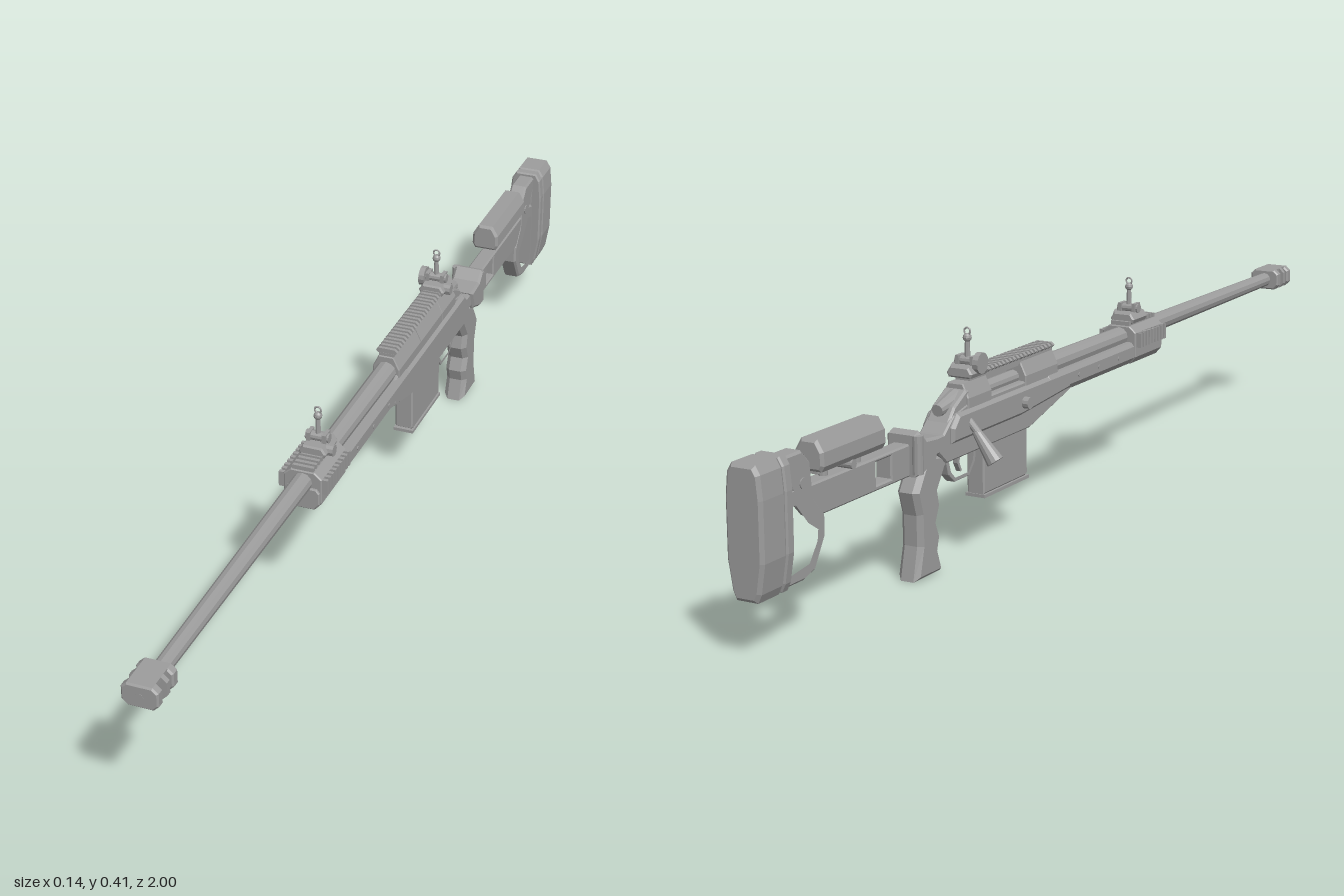
import * as THREE from 'three';

const metal = new THREE.MeshStandardMaterial({ color: 0x9c9c9c });
metal.name = 'grey metal';
metal.flatShading = true;

export function createModel() {
  const root = new THREE.Group();
  root.name = 'rifle';
  const g = new THREE.Group();
  g.name = 'body';
  g.position.x = 0.02; // the bore sits slightly off the centre line
  root.add(g);

  const add = (name, geo, x = 0, y = 0, z = 0) => {
    const m = new THREE.Mesh(geo, metal);
    m.name = name;
    m.position.set(x, y, z);
    g.add(m);
    return m;
  };
  // box given by its z and y ranges, centred on x
  const box = (name, w, y0, y1, z0, z1, x = 0) =>
    add(name, new THREE.BoxGeometry(w, y1 - y0, Math.abs(z1 - z0)), x, (y0 + y1) / 2, (z0 + z1) / 2);
  const toShape = (pts) => new THREE.Shape(pts.map(([a, b]) => new THREE.Vector2(a, b)));
  const extrude = (pts, depth, bevel, holes) => {
    const s = toShape(pts);
    holes.forEach((h) => s.holes.push(toShape(h)));
    return new THREE.ExtrudeGeometry(s, {
      depth: depth - 2 * bevel, bevelEnabled: bevel > 0, bevelThickness: bevel,
      bevelSize: bevel, bevelOffset: -bevel, bevelSegments: 1, curveSegments: 6,
    }).translate(0, 0, -depth / 2 + bevel);
  };
  // side profile of [z, y] points with a width in x
  const side = (name, pts, width, bevel = 0, holes = [], x = 0) =>
    add(name, extrude(pts, width, bevel, holes).rotateY(-Math.PI / 2), x);
  // cross-section of [x, y] points running along z
  const along = (name, pts, z0, z1, bevel = 0, holes = []) =>
    add(name, extrude(pts, Math.abs(z1 - z0), bevel, holes), 0, 0, (z0 + z1) / 2);
  const mirror = (half) => [...half, ...half.map(([x, y]) => [-x, y]).reverse()];
  // cylinder between two points
  const rod = (name, a, b, r0, r1 = r0, n = 12) => {
    const p = new THREE.Vector3(...a), q = new THREE.Vector3(...b);
    const m = add(name, new THREE.CylinderGeometry(r1, r0, p.distanceTo(q), n));
    m.position.copy(p).add(q).multiplyScalar(0.5);
    m.quaternion.setFromUnitVectors(new THREE.Vector3(0, 1, 0), q.sub(p).normalize());
    return m;
  };

  // barrel and muzzle brake
  const bore = 0.283;
  rod('barrel', [0, bore, -0.1], [0, bore, 0.94], 0.021, 0.0145);
  const brake = mirror([[0.022, 0.262], [0.032, 0.272], [0.032, 0.296], [0.022, 0.305]]);
  along('brakeFront', brake, 0.982, 1.0, 0.003);
  along('brakeMiddle', brake, 0.958, 0.968);
  along('brakeRear', brake, 0.928, 0.946, 0.003);
  box('brakeTop', 0.044, 0.297, 0.305, 0.935, 0.99);
  box('brakeBottom', 0.044, 0.262, 0.27, 0.935, 0.99);
  box('brakeCore', 0.03, 0.27, 0.297, 0.935, 0.99);
  rod('muzzleBore', [0, bore, 0.995], [0, bore, 1.0005], 0.007);

  // fore-end channel and its front collar
  along('foreEnd', mirror([[0.023, 0.232], [0.033, 0.244], [0.033, 0.266], [0.027, 0.274]]), -0.1, 0.355, 0.002);
  along('foreEndCollar', mirror([[0.024, 0.231], [0.036, 0.245], [0.036, 0.293], [0.022, 0.305]]), 0.235, 0.35, 0.002);
  for (let i = 0; i < 9; i++) {
    const z = 0.242 + i * 0.0128;
    for (const s of [-1, 1]) box('sideRailTooth', 0.012, 0.264, 0.293, z - 0.0035, z + 0.0035, s * 0.04);
    box('frontRailTooth', 0.04, 0.303, 0.313, z - 0.0035, z + 0.0035);
  }
  for (const z of [0.17, 0.09, 0.01])
    for (const s of [-1, 1]) rod('foreEndScrew', [s * 0.032, 0.255, z], [s * 0.0345, 0.255, z], 0.004, 0.004, 8);

  // stock body with magazine well
  side('chassis', [[0, 0.25], [0, 0.232], [-0.16, 0.19], [-0.45, 0.19], [-0.475, 0.212], [-0.53, 0.212],
    [-0.53, 0.243], [-0.458, 0.243], [-0.426, 0.27], [-0.38, 0.28], [-0.06, 0.28]], 0.05, 0.003);
  side('chassisSides', [[-0.02, 0.272], [-0.02, 0.236], [-0.2, 0.222], [-0.44, 0.222], [-0.44, 0.25],
    [-0.42, 0.272]], 0.066, 0.006);

  // receiver: closed ends, port open on the right side
  const receiver = mirror([[0.027, 0.262], [0.027, 0.29], [0.015, 0.315]]);
  along('receiverFront', receiver, -0.06, -0.18, 0.002);
  along('receiverRear', receiver, -0.3, -0.38, 0.002);
  along('receiverPort', [[-0.027, 0.262], [0.027, 0.262], [0.027, 0.29], [0.015, 0.315], [-0.012, 0.315],
    [-0.012, 0.308], [0.014, 0.3], [0.014, 0.272], [-0.027, 0.272]], -0.18, -0.3);
  side('receiverTang', [[-0.37, 0.262], [-0.44, 0.258], [-0.42, 0.283], [-0.38, 0.305], [-0.37, 0.305]], 0.046, 0.004);

  // top rail
  box('topRail', 0.03, 0.312, 0.321, -0.062, -0.355);
  for (let i = 0; i < 23; i++) {
    const z = -0.066 - i * 0.0128;
    along('topRailTooth', mirror([[0.016, 0.32], [0.021, 0.325], [0.016, 0.33]]), z + 0.0035, z - 0.0035);
  }

  // bolt
  rod('bolt', [0, 0.286, -0.17], [0, 0.286, -0.4], 0.013);
  rod('boltShroud', [0, 0.288, -0.38], [0, 0.278, -0.44], 0.018, 0.011);
  rod('boltHandle', [-0.012, 0.272, -0.385], [-0.045, 0.23, -0.378], 0.007);
  rod('boltKnob', [-0.04, 0.234, -0.378], [-0.077, 0.182, -0.375], 0.008, 0.016);
  rod('portScrew', [-0.033, 0.245, -0.195], [-0.045, 0.245, -0.195], 0.011);

  // magazine
  side('magazine', [[-0.16, 0.195], [-0.16, 0.104], [-0.166, 0.1], [-0.315, 0.1], [-0.315, 0.195]], 0.036, 0.003);
  side('magazineLip', [[-0.158, 0.1], [-0.158, 0.094], [-0.317, 0.094], [-0.317, 0.1]], 0.04);

  // trigger and guard
  side('triggerGuard', [[-0.325, 0.195], [-0.33, 0.165], [-0.35, 0.143], [-0.4, 0.143], [-0.42, 0.16], [-0.43, 0.195]],
    0.018, 0.001, [[[-0.333, 0.19], [-0.337, 0.168], [-0.353, 0.149], [-0.398, 0.149], [-0.413, 0.163], [-0.421, 0.19]]]);
  side('trigger', [[-0.372, 0.192], [-0.376, 0.172], [-0.368, 0.156], [-0.373, 0.155], [-0.383, 0.172], [-0.384, 0.192]], 0.009);

  // pistol grip with finger swells
  side('grip', [[-0.426, 0.2], [-0.447, 0.18], [-0.469, 0.147], [-0.463, 0.12], [-0.475, 0.092], [-0.464, 0.066],
    [-0.471, 0.042], [-0.458, 0], [-0.544, 0], [-0.53, 0.06], [-0.531, 0.115], [-0.544, 0.157], [-0.52, 0.195],
    [-0.5, 0.218]], 0.043, 0.009);

  // folding hinge and skeleton stock arm
  side('hingeBlock', [[-0.475, 0.245], [-0.49, 0.205], [-0.53, 0.19], [-0.555, 0.19], [-0.555, 0.262], [-0.54, 0.268],
    [-0.52, 0.25]], 0.06, 0.005);
  rod('hingePin', [-0.028, 0.195, -0.548], [-0.028, 0.262, -0.548], 0.01);
  side('stockArm', [[-0.53, 0.247], [-0.53, 0.19], [-0.83, 0.19], [-0.85, 0.21], [-0.85, 0.247]], 0.032, 0.003,
    [[[-0.61, 0.239], [-0.655, 0.239], [-0.655, 0.2], [-0.61, 0.2]]]);

  // cheek rest on two posts
  along('cheekRest', mirror([[0.022, 0.262], [0.028, 0.272], [0.027, 0.295], [0.015, 0.315]]), -0.64, -0.825, 0.005);
  for (const z of [-0.69, -0.785]) rod('cheekPost', [0, 0.24, z], [0, 0.268, z], 0.008);
  rod('cheekKnob', [0.012, 0.256, -0.735], [-0.026, 0.256, -0.735], 0.008);
  box('cheekPlate', 0.02, 0.256, 0.264, -0.66, -0.815);

  // butt frame with windows
  side('buttFrame', [[-0.925, 0.308], [-0.865, 0.308], [-0.842, 0.285], [-0.835, 0.225], [-0.805, 0.19], [-0.805, 0.155],
    [-0.835, 0.105], [-0.865, 0.096], [-0.925, 0.096]], 0.034, 0.004,
  [[[-0.915, 0.22], [-0.885, 0.23], [-0.85, 0.19], [-0.822, 0.172], [-0.825, 0.15], [-0.85, 0.116], [-0.915, 0.108]],
    [[-0.862, 0.296], [-0.895, 0.296], [-0.88, 0.278], [-0.86, 0.278]],
    [[-0.914, 0.285], [-0.914, 0.243], [-0.894, 0.25]]]);
  rod('buttScrew', [-0.019, 0.255, -0.865], [0.019, 0.255, -0.865], 0.009);

  // butt pad
  const pad = mirror([[0.02, 0.095], [0.027, 0.11], [0.035, 0.16], [0.035, 0.26], [0.031, 0.3], [0.022, 0.315]]);
  along('buttPlate', pad, -0.915, -0.935, 0.003);
  along('buttPad', pad, -0.935, -1.0, 0.006);

  // folding sights: clamp base, post, ring and knobs
  const sight = (name, z, y, top, tall) => {
    along(name + 'Clamp', mirror([[0.022, y - 0.008], [0.026, y], [0.018, y + 0.012]]), z + 0.03, z - 0.03, 0.003);
    rod(name + 'Pivot', [-0.022, y + 0.018, z], [0.022, y + 0.018, z], 0.009);
    for (const s of [-1, 1]) box(name + 'Ear', 0.007, y + 0.005, y + 0.028, z - 0.012, z + 0.012, s * 0.015);
    rod(name + 'Post', [0, y + 0.01, z], [0, top - 0.012, z], 0.006, 0.004, 8);
    add(name + 'Collar', new THREE.SphereGeometry(0.008, 10, 6), 0, top - 0.019, z);
    add(name + 'Ring', new THREE.TorusGeometry(0.006, 0.0018, 6, 16), 0, top - 0.0075, z);
    rod(name + 'ClampKnob', [0.02, y, z + 0.008], [0.034, y, z + 0.008], 0.011, 0.011, 10);
    if (tall) rod(name + 'Dial', [-0.02, y + 0.016, z], [-0.031, y + 0.016, z], 0.019, 0.019, 14);
  };
  sight('frontSight', 0.276, 0.316, 0.395, false);
  sight('rearSight', -0.338, 0.329, 0.407, true);

  return root;
}
